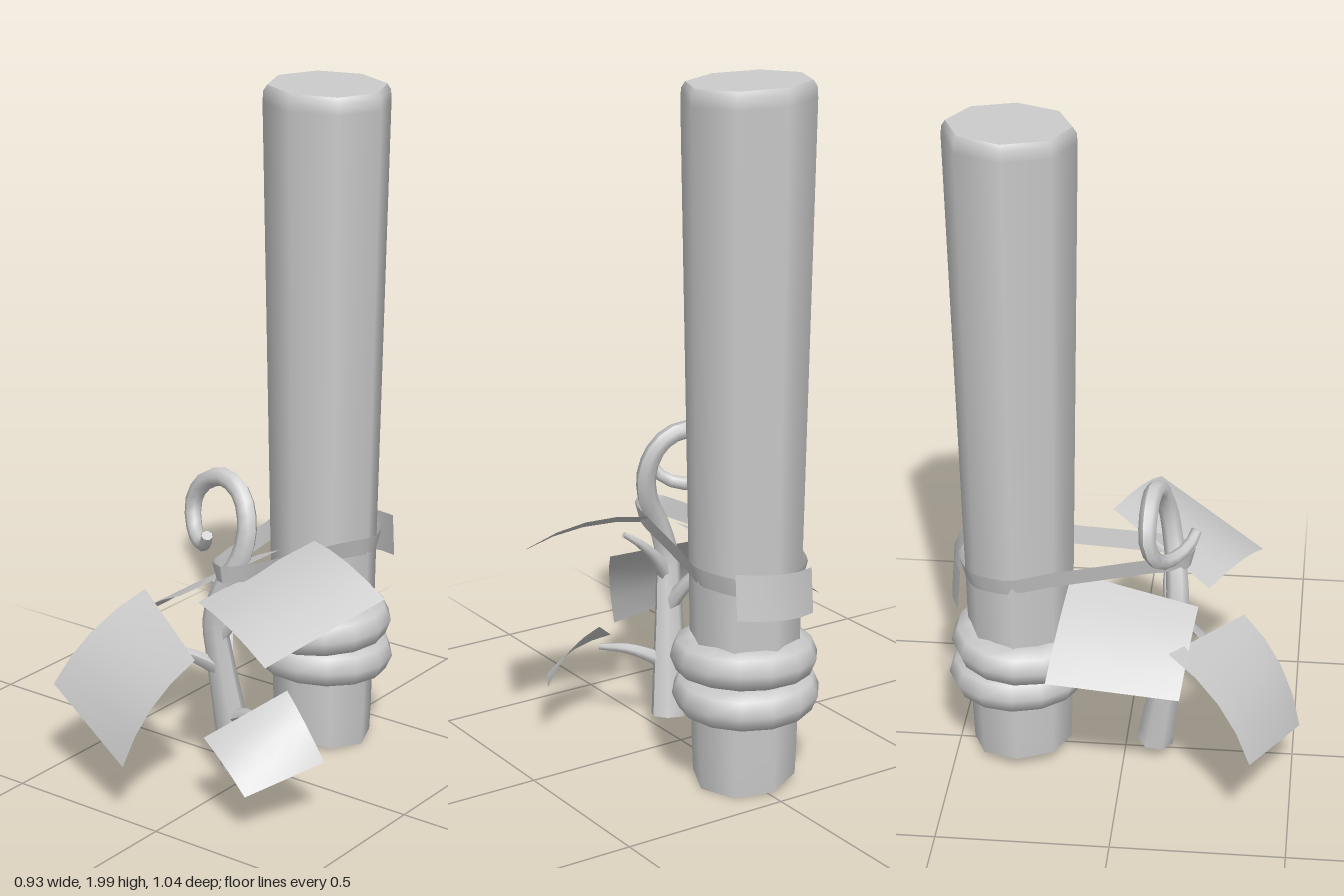
import * as THREE from 'three';

const mat = new THREE.MeshStandardMaterial({ color: 0xcccccc });
const thin = new THREE.MeshStandardMaterial({ color: 0xcccccc, side: THREE.DoubleSide });
const V = (a) => new THREE.Vector3(...a);

function named(name, geometry, material = mat) {
  const mesh = new THREE.Mesh(geometry, material);
  mesh.name = name;
  return mesh;
}

// Thin surface from a rule f(u, v) -> Vector3
function sheet(name, nu, nv, f) {
  const g = new THREE.PlaneGeometry(1, 1, nu, nv);
  const p = g.attributes.position;
  for (let i = 0; i < p.count; i++) {
    const q = f(p.getX(i) + 0.5, 0.5 - p.getY(i));
    p.setXYZ(i, q.x, q.y, q.z);
  }
  g.computeVertexNormals();
  return named(name, g, thin);
}

// Round stem along a curve, its radius going through the listed values, with flat ends
function stem(name, points, radii, segments, sides) {
  const path = new THREE.CatmullRomCurve3(points.map(V));
  const g = new THREE.TubeGeometry(path, segments, 1, sides, false);
  const p = g.attributes.position;
  const radiusAt = (t) => {
    const s = t * (radii.length - 1), k = Math.min(Math.floor(s), radii.length - 2);
    return THREE.MathUtils.lerp(radii[k], radii[k + 1], s - k);
  };
  const q = new THREE.Vector3();
  for (let i = 0; i < p.count; i++) {
    const t = Math.floor(i / (sides + 1)) / segments, c = path.getPointAt(t);
    q.fromBufferAttribute(p, i).sub(c).multiplyScalar(radiusAt(t)).add(c);
    p.setXYZ(i, q.x, q.y, q.z);
  }
  g.computeVertexNormals();
  const group = new THREE.Group();
  group.name = name;
  group.add(named(name + 'Skin', g));
  for (const t of [0, 1]) {
    const cap = named(name + 'End', new THREE.CircleGeometry(radiusAt(t), sides));
    cap.position.copy(path.getPointAt(t));
    cap.quaternion.setFromUnitVectors(new THREE.Vector3(0, 0, 1),
      path.getTangentAt(t).multiplyScalar(t ? 1 : -1));
    group.add(cap);
  }
  return group;
}

// Square leaf between four corners (in order round the edge), bulged along its normal
function leaf(name, corners, bulge) {
  const [a, b, c, d] = corners.map(V);
  const n = c.clone().sub(a).cross(d.clone().sub(b)).normalize();
  if (n.y < 0) n.negate();
  return sheet(name, 4, 4, (u, v) => {
    const top = a.clone().lerp(b, u), low = d.clone().lerp(c, u);
    return top.lerp(low, v).addScaledVector(n, bulge * 4 * v * (1 - v));
  });
}

// Eight-sided post, widening upwards, with slanted ends
function makePost() {
  const post = new THREE.Group();
  post.name = 'post';
  const slant = (g) => {
    const p = g.attributes.position;
    for (let i = 0; i < p.count; i++) {
      const x = p.getX(i), y = p.getY(i), z = p.getZ(i), t = y / 2;
      p.setY(i, y - x * (0.12 - 0.08 * t) + z * (0.06 - 0.08 * t));
    }
    return g;
  };
  const profile = [[0.146, 0.022], [0.15, 0.12], [0.183, 1.94], [0.181, 1.97], [0.17, 1.987]];
  post.add(named('postSide', slant(new THREE.LatheGeometry(
    profile.map(([r, y]) => new THREE.Vector2(r, y)), 8))));
  const disc = (r, y, turn) => {
    const g = new THREE.CircleGeometry(r, 8).rotateX(turn).translate(0, y, 0);
    return named('postEnd', slant(g));
  };
  post.add(disc(0.17, 1.987, -Math.PI / 2), disc(0.146, 0.022, Math.PI / 2));
  post.position.set(-0.007, 0, -0.31);
  return post;
}

export function createModel() {
  const model = new THREE.Group();
  model.name = 'vineOnPost';
  model.add(makePost());

  // Two thick rope turns round the post
  [[0.38, -0.305, 0.03], [0.278, -0.315, -0.03]].forEach(([y, z, tilt]) => {
    const ring = named('ropeRing', new THREE.TorusGeometry(0.149, 0.06, 8, 14).rotateX(Math.PI / 2));
    ring.position.set(-0.008, y, z);
    ring.rotation.set(tilt, 0, tilt);
    model.add(ring);
  });

  // Main vine, ending in a curl
  model.add(stem('vine', [
    [-0.02, 0.05, 0.09], [-0.035, 0.22, 0.115], [-0.05, 0.4, 0.14], [-0.055, 0.52, 0.155],
    [-0.02, 0.63, 0.15], [0.025, 0.72, 0.135], [0.035, 0.81, 0.12], [0, 0.89, 0.1],
    [-0.07, 0.922, 0.085], [-0.15, 0.89, 0.078], [-0.188, 0.82, 0.08], [-0.165, 0.755, 0.105],
    [-0.11, 0.735, 0.15], [-0.06, 0.755, 0.19], [-0.04, 0.79, 0.207],
  ], [0.056, 0.048, 0.04, 0.034, 0.03, 0.028, 0.027, 0.023, 0.016], 36, 7));

  // Leaf stalks
  const stalks = [
    [[-0.045, 0.36, 0.14], [-0.1, 0.42, 0.22], [-0.16, 0.445, 0.28], [-0.195, 0.452, 0.315]],
    [[-0.05, 0.46, 0.15], [0, 0.53, 0.13], [0.06, 0.59, 0.12], [0.11, 0.625, 0.13]],
    [[-0.04, 0.37, 0.13], [-0.07, 0.45, 0.08], [-0.12, 0.52, 0.03], [-0.18, 0.56, 0]],
    [[-0.03, 0.2, 0.12], [0.02, 0.23, 0.135], [0.08, 0.255, 0.165], [0.14, 0.255, 0.22]],
  ];
  stalks.forEach((pts) => model.add(stem('leafStalk', pts, [0.026, 0.018, 0.009], 8, 6)));

  // Leaves
  model.add(
    leaf('frontLeaf', [[-0.315, 0.545, 0.15], [0.022, 0.475, 0.345],
      [-0.1, 0.18, 0.52], [-0.465, 0.29, 0.39]], 0.035),
    leaf('upperLeaf', [[0.145, 0.738, -0.05], [0.465, 0.675, 0.065],
      [0.295, 0.537, 0.385], [-0.045, 0.6, 0.245]].map((c, i, a) => a[(i + 3) % 4]), 0.028),
    leaf('lowerLeaf', [[0.035, 0.235, 0.325], [0.19, 0.355, 0.14],
      [0.345, 0.19, 0.175], [0.225, 0.13, 0.385]], 0.02),
    leaf('backLeaf', [[-0.355, 0.45, -0.195], [-0.05, 0.635, -0.15],
      [-0.13, 0.59, 0.22], [-0.375, 0.43, 0.185]].map((c, i, a) => a[(i + 1) % 4]), 0.015),
  );

  // Tie looped round the vine and the post
  const loop = new THREE.CatmullRomCurve3([
    [0, 0.677, 0.195], [-0.035, 0.678, 0.18], [-0.065, 0.674, 0.07], [-0.135, 0.656, -0.2],
    [-0.17, 0.645, -0.32], [-0.124, 0.637, -0.43], [-0.006, 0.632, -0.48], [0.112, 0.637, -0.43],
    [0.158, 0.645, -0.32], [0.13, 0.656, -0.2], [0.07, 0.676, 0.09], [0.045, 0.68, 0.16],
  ].map(V), true, 'catmullrom', 0.3);
  model.add(sheet('tie', 48, 1, (u, v) => {
    const p = loop.getPointAt(u % 1), t = loop.getTangentAt(u % 1);
    const out = new THREE.Vector3(t.z, 0, -t.x).normalize();
    return p.addScaledVector(out, (v - 0.5) * -0.014).add(V([0, (0.5 - v) * 0.055, 0]));
  }));

  // Bent tag at the back of the tie
  model.add(sheet('tag', 4, 2, (u, v) => {
    const x = -0.12 + 0.255 * u;
    return V([x, 0.66 + 0.03 * u - 0.13 * v, -0.465 - 0.035 * 4 * u * (1 - u) - 0.01 * v]);
  }));

  return model;
}
